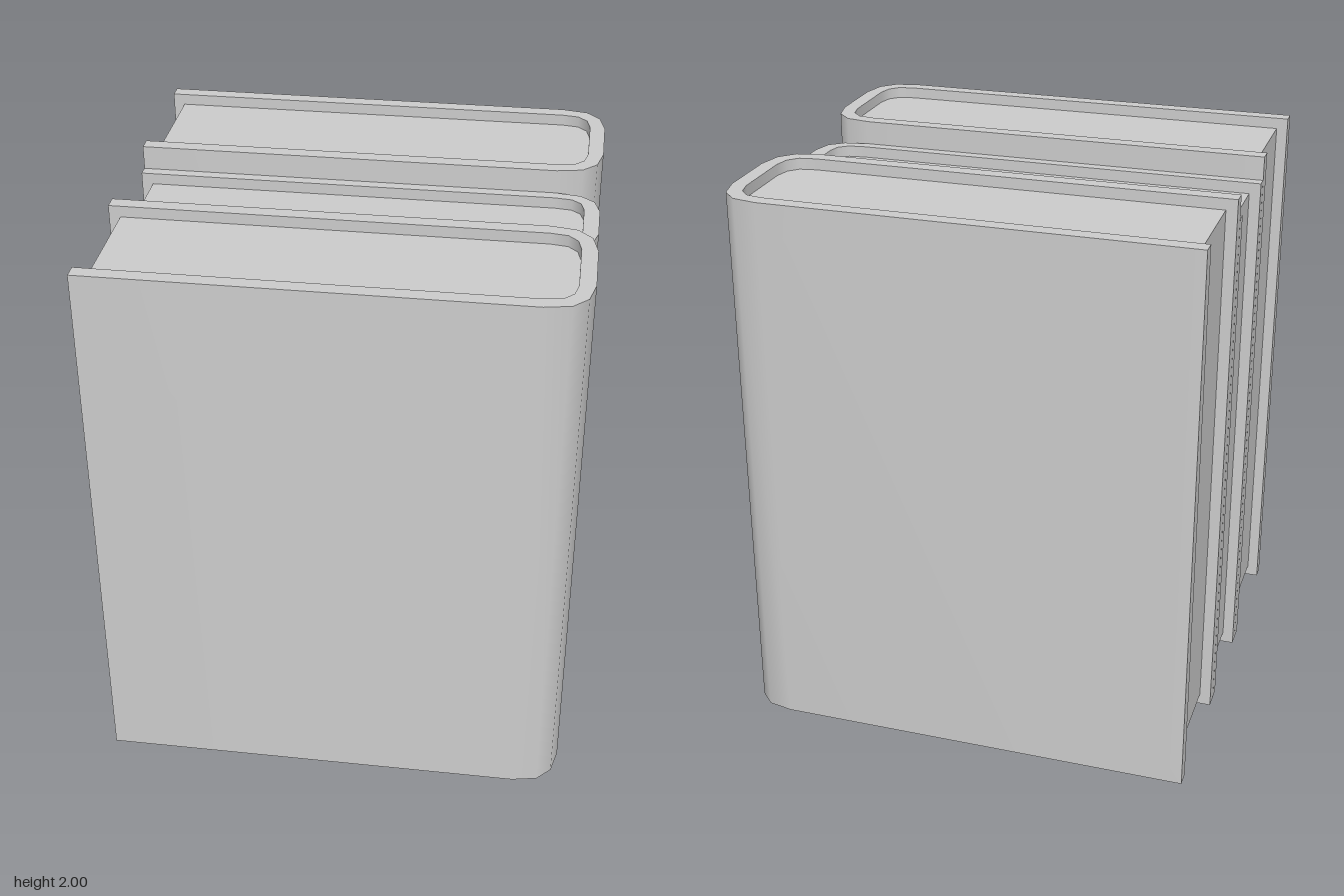
import * as THREE from 'three';
import { toCreasedNormals } from 'three/addons/utils/BufferGeometryUtils.js';

const material = new THREE.MeshStandardMaterial({ color: 0xcccccc });

// Rounded spine corners: [x, distance in from the cover face]
const OUTER = [[0.67, 0], [0.76, 0.018], [0.81, 0.07], [0.83, 0.16]];
const INNER = [[0.67, 0], [0.73, 0.01], [0.763, 0.044], [0.775, 0.1]];

// U-shaped line from the open edge round the spine and back, in plan
function uLine(openX, half, corner, scale) {
  const side = [[openX, half], ...corner.map(([x, d]) => [x, half - d * scale])];
  const mirrored = side.map(([x, y]) => [x, -y]).reverse();
  return [...side, ...mirrored].map(([x, y]) => new THREE.Vector2(x, y));
}

// Extrude a plan outline upwards from y0 to y1
function upright(name, points, y0, y1) {
  const geometry = new THREE.ExtrudeGeometry(new THREE.Shape(points), { depth: y1 - y0, bevelEnabled: false });
  geometry.rotateX(-Math.PI / 2).translate(0, y0, 0);
  const mesh = new THREE.Mesh(toCreasedNormals(geometry, 0.8), material);
  mesh.name = name;
  return mesh;
}

function makeBook(name, zMin, zMax, height, thickness, scale) {
  const book = new THREE.Group();
  book.name = name;
  const half = (zMax - zMin) / 2;
  const inset = 0.04;

  // Cover: two boards joined by the curved spine
  const outer = uLine(-0.83, half, OUTER, scale);
  const inner = uLine(-0.83, half - thickness, INNER, scale);
  book.add(upright('cover', [...outer, ...inner.reverse()], 0, height));

  // Page block, set back from the cover edges
  const pages = uLine(-0.79, half - thickness, INNER, scale);
  book.add(upright('pages', pages, inset, height - inset));

  book.position.z = (zMin + zMax) / 2;
  return book;
}

export function createModel() {
  const group = new THREE.Group();
  group.name = 'books';
  group.add(
    makeBook('backBook', -0.77, -0.219, 2, 0.054, 1),
    makeBook('middleBook', -0.217, 0.213, 1.915, 0.041, 0.8),
    makeBook('frontBook', 0.215, 0.77, 2, 0.054, 1),
  );
  return group;
}
